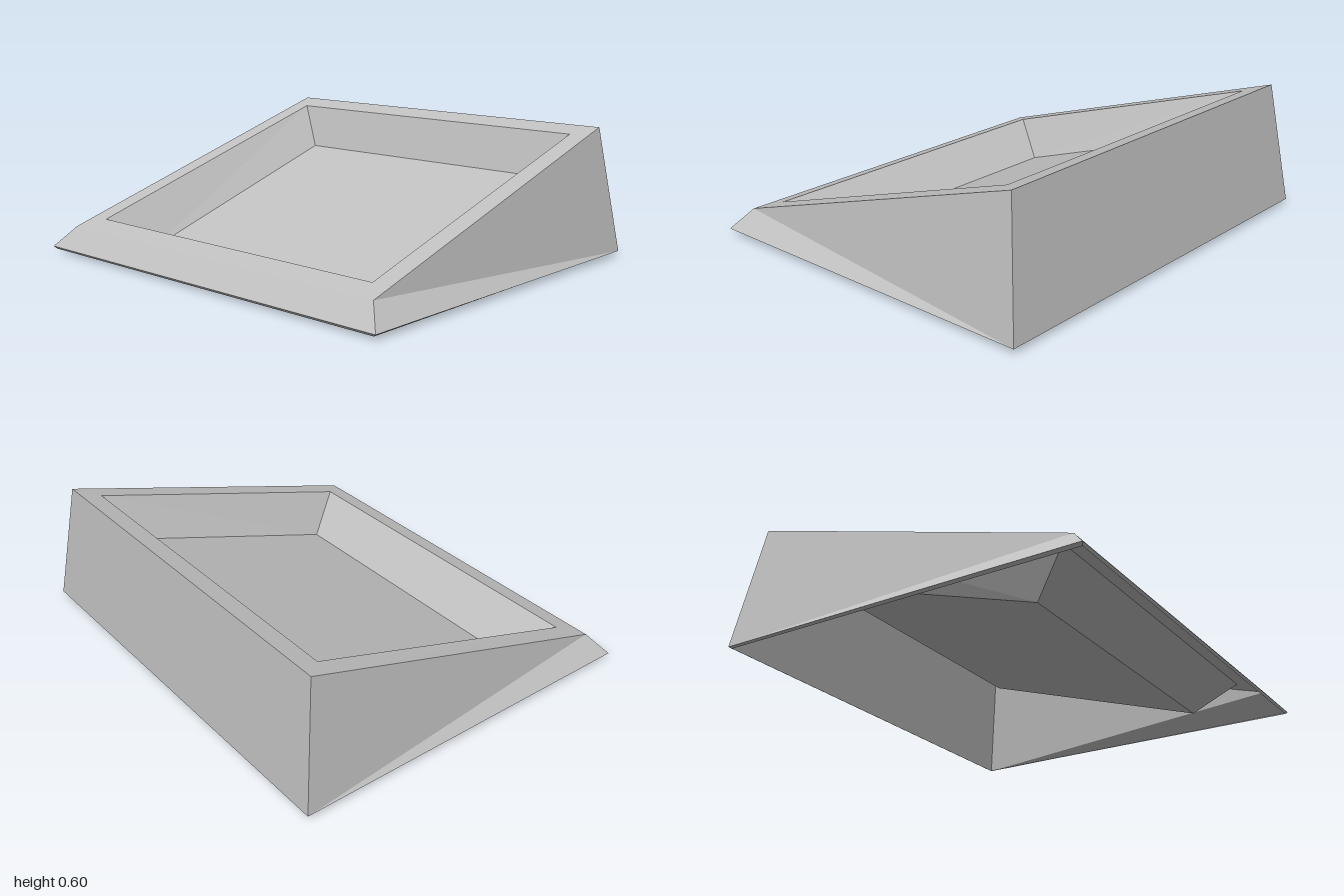
import * as THREE from 'three';

// Four corners, anticlockwise from above; front and back edges are [y, z]
const loop = (x, [fy, fz], [by, bz]) =>
  [[x, fy, fz], [x, by, bz], [-x, by, bz], [-x, fy, fz]].map(p => new THREE.Vector3(...p));

function surface(points) {
  const geometry = new THREE.BufferGeometry().setFromPoints(points);
  geometry.computeVertexNormals();
  return geometry;
}

// Flat-sided band between two loops; the side faces fold from back bottom to front top
function band(a, b) {
  const points = [];
  for (let i = 0; i < 4; i++) {
    const j = (i + 1) % 4;
    if (i === 2) points.push(a[i], a[j], b[j], a[i], b[j], b[i]);
    else points.push(a[i], a[j], b[i], a[j], b[j], b[i]);
  }
  return surface(points);
}

export function createModel() {
  const group = new THREE.Group();
  const grey = new THREE.MeshStandardMaterial({ color: 0xc0c0c0, side: THREE.DoubleSide });
  grey.name = 'light grey';

  const add = (name, geometry) => {
    const mesh = new THREE.Mesh(geometry, grey);
    mesh.name = name;
    group.add(mesh);
  };

  const lip = loop(0.985, [0.014, 0.852], [0.021, -0.852]);
  const base = loop(1, [0.025, 0.86], [0.025, -0.86]);
  const rimOuter = loop(0.92, [0.12, 0.78], [0.602, -0.78]);
  const rimInner = loop(0.828, [0.151, 0.68], [0.572, -0.68]);
  const floor = loop(0.71, [0, 0.495], [0.37, -0.622]);

  add('bottomLip', band(lip, base));
  add('outerWalls', band(base, rimOuter));
  add('slopedRim', band(rimOuter, rimInner));
  add('trayWalls', band(rimInner, floor));
  add('trayFloor', surface([floor[0], floor[1], floor[2], floor[0], floor[2], floor[3]]));

  return group;
}
